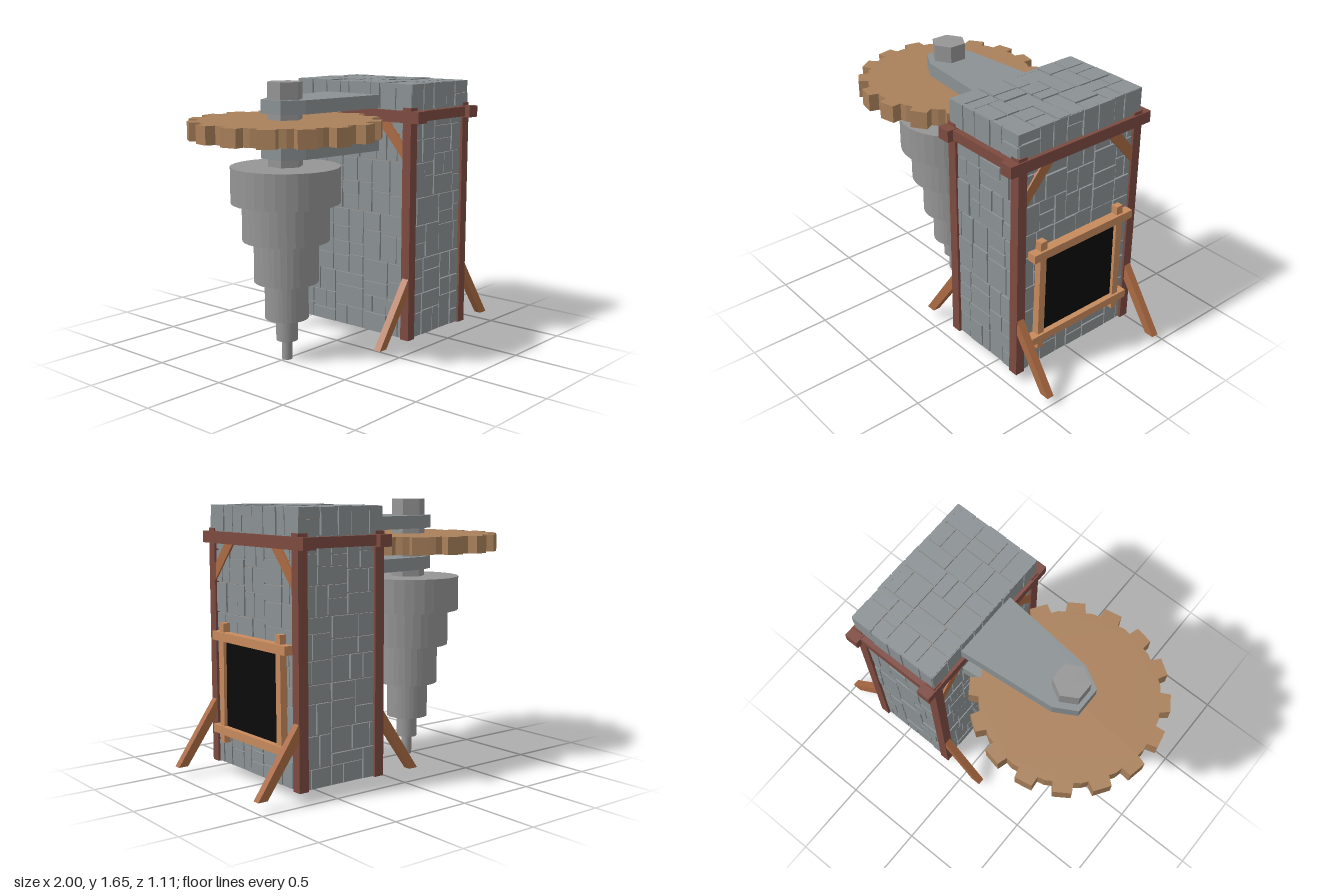
import * as THREE from 'three';
import { mergeGeometries } from 'three/addons/utils/BufferGeometryUtils.js';

const mat = (color) => new THREE.MeshStandardMaterial({ color, flatShading: true });
const STONE = mat(0x8b9194), MORTAR = mat(0x8f8d8a), ARM = mat(0x8b9194), METAL = mat(0x959595);
const DARK_WOOD = mat(0x7d4a40), STRUT_WOOD = mat(0xab6a43), FRAME_WOOD = mat(0xc68a5c);
const GEAR_WOOD = mat(0xa9805a), BLACK = mat(0x0a0a0a);

const AXIS_X = -0.45; // drill axis
const TOWER_X = 0.432; // tower centre

let seed = 7;
const rand = () => {
  seed = (seed * 16807) % 2147483647;
  return seed / 2147483647;
};

function add(parent, name, geometry, material) {
  const mesh = new THREE.Mesh(geometry, material);
  mesh.name = name;
  parent.add(mesh);
  return mesh;
}

// Box given by its low and high corners
function box(parent, name, material, [x0, y0, z0], [x1, y1, z1]) {
  const mesh = add(parent, name, new THREE.BoxGeometry(x1 - x0, y1 - y0, z1 - z0), material);
  mesh.position.set((x0 + x1) / 2, (y0 + y1) / 2, (z0 + z1) / 2);
  return mesh;
}

function extrude(points, depth) {
  const shape = new THREE.Shape(points.map(([x, y]) => new THREE.Vector2(x, y)));
  return new THREE.ExtrudeGeometry(shape, { depth, bevelEnabled: false });
}

// Split a rectangle into irregular stones
function split(x, y, w, h, out) {
  const limit = 0.018 + 0.016 * rand();
  if (w * h < limit && Math.max(w, h) < 0.27) return out.push([x, y, w, h]);
  const t = 0.36 + 0.28 * rand();
  if (w > h * (0.8 + 0.4 * rand())) {
    split(x, y, w * t, h, out);
    split(x + w * t, y, w * (1 - t), h, out);
  } else {
    split(x, y, w, h * t, out);
    split(x, y + h * t, w, h * (1 - t), out);
  }
}

// Stone facing on a w by h wall, centred on its origin and facing +z
function stoneWall(parent, name, w, h, position, rotation) {
  const stones = [];
  split(-w / 2, -h / 2, w, h, stones);
  const gap = 0.008;
  const parts = stones.map(([x, y, sw, sh]) => {
    const d = 0.022 + 0.007 * rand();
    return new THREE.BoxGeometry(sw - gap, sh - gap, d).translate(x + sw / 2, y + sh / 2, d / 2 - 0.025);
  });
  const mesh = add(parent, name, mergeGeometries(parts), STONE);
  mesh.position.set(...position);
  mesh.rotation.set(...rotation);
}

// Mortar core with stones on its four sides
function masonry(parent, name, hx, hz, y0, y1) {
  const inset = 0.012, h = y1 - y0, y = (y0 + y1) / 2;
  box(parent, name + 'Core', MORTAR, [TOWER_X - hx + inset, y0, -hz + inset], [TOWER_X + hx - inset, y1 - inset, hz - inset]);
  stoneWall(parent, name + 'FrontStones', 2 * hx, h, [TOWER_X, y, hz], [0, 0, 0]);
  stoneWall(parent, name + 'BackStones', 2 * hx, h, [TOWER_X, y, -hz], [0, Math.PI, 0]);
  stoneWall(parent, name + 'LeftStones', 2 * hz, h, [TOWER_X + hx, y, 0], [0, Math.PI / 2, 0]);
  stoneWall(parent, name + 'RightStones', 2 * hz, h, [TOWER_X - hx, y, 0], [0, -Math.PI / 2, 0]);
}

function buildTower() {
  const tower = new THREE.Group();
  tower.name = 'tower';
  masonry(tower, 'body', 0.283, 0.445, 0.06, 1.475);
  masonry(tower, 'cap', 0.288, 0.455, 1.465, 1.625);
  stoneWall(tower, 'capTopStones', 0.576, 0.91, [TOWER_X, 1.622, 0], [-Math.PI / 2, 0, 0]);
  return tower;
}

function buildTimber() {
  const timber = new THREE.Group();
  timber.name = 'timberFrame';
  for (const sx of [-1, 1]) {
    const side = new THREE.Group();
    side.name = sx > 0 ? 'leftTimber' : 'rightTimber';
    side.position.x = TOWER_X;
    timber.add(side);
    // Beam along the top of this side
    const beam = box(side, 'sideBeam', DARK_WOOD, [-0.042, 1.395, -0.52], [0.042, 1.465, 0.52]);
    beam.position.x = sx * 0.264;
    for (const sz of [-1, 1]) {
      const post = box(side, 'cornerPost', DARK_WOOD, [-0.031, 0.06, -0.03], [0.031, 1.484, 0.03]);
      post.position.x = sx * 0.267;
      post.position.z = sz * 0.43;

      // Leaning strut at the foot of the post
      const outline = [[0.29, 0.46], [0.29, 0.36], [0.505, 0.06], [0.566, 0.06]];
      const pts = outline.map(([x, y]) => [sx * x, y]);
      const strut = add(side, 'footStrut', extrude(pts, 0.046), STRUT_WOOD);
      strut.position.z = sz * 0.433 - 0.023;

      // Diagonal brace under the beam
      const brace = [[0.41, 1.26], [0.41, 1.165], [0.2, 1.4], [0.29, 1.4]].map(([z, y]) => [-sz * z, y]);
      const mesh = add(side, 'cornerBrace', extrude(brace, 0.04), STRUT_WOOD);
      mesh.rotation.y = Math.PI / 2;
      mesh.position.x = sx * 0.275 - 0.02;
    }
  }
  for (const sz of [-1, 1]) {
    const beam = box(timber, 'crossBeam', DARK_WOOD, [0.14, 1.402, -0.02], [0.725, 1.462, 0.02]);
    beam.position.z = sz * 0.465;
  }
  return timber;
}

function buildWindow() {
  const win = new THREE.Group();
  win.name = 'window';
  box(win, 'darkOpening', BLACK, [0.7, 0.29, -0.29], [0.738, 0.84, 0.285]);
  const tilts = [0.014, -0.008];
  [1, -1].forEach((s, i) => {
    const jamb = box(win, 'windowJamb', FRAME_WOOD, [0.71, 0.203, -0.023], [0.758, 0.928, 0.023]);
    jamb.position.z = s * 0.299 - 0.003;
    jamb.rotation.x = -tilts[i];
  });
  box(win, 'windowLintel', FRAME_WOOD, [0.715, 0.823, -0.39], [0.773, 0.875, 0.37]);
  box(win, 'windowSill', FRAME_WOOD, [0.715, 0.257, -0.382], [0.773, 0.306, 0.378]);
  return win;
}

function buildDrill() {
  const drill = new THREE.Group();
  drill.name = 'drill';
  drill.position.x = AXIS_X;
  // Stepped tiers: radius, bottom, top
  const tiers = [[0.032, 0, 0.12], [0.065, 0.12, 0.257], [0.13, 0.257, 0.48], [0.191, 0.48, 0.73], [0.257, 0.73, 0.953], [0.321, 0.953, 1.165]];
  tiers.forEach(([r, y0, y1], i) => {
    const tier = add(drill, 'drillTier' + (i + 1), new THREE.CylinderGeometry(r, r, y1 - y0, 32), METAL);
    tier.position.y = (y0 + y1) / 2;
  });
  const shaft = add(drill, 'hexShaft', new THREE.CylinderGeometry(0.105, 0.105, 0.49, 6), METAL);
  shaft.position.y = 1.405;

  // Sixteen-toothed wheel
  const teeth = 16, pitch = (2 * Math.PI) / teeth, points = [];
  const at = (r, a) => points.push([r * Math.cos(a), r * Math.sin(a)]);
  for (let i = 0; i < teeth; i++) {
    const a = (i + 0.5) * pitch;
    at(0.5, a - 0.115);
    at(0.558, a - 0.092);
    at(0.558, a + 0.092);
    at(0.5, a + 0.115);
    at(0.505, a + pitch / 2);
  }
  const gear = add(drill, 'gearWheel', extrude(points, 0.105), GEAR_WOOD);
  gear.rotation.x = -Math.PI / 2;
  gear.position.y = 1.33;
  return drill;
}

export function createModel() {
  const model = new THREE.Group();
  model.name = 'drillTower';
  model.add(buildTower(), buildTimber(), buildWindow(), buildDrill());

  // Tapered arms holding the shaft
  const half = [[-0.567, 0.08], [-0.44, 0.152], [0.18, 0.214]];
  const outline = [...half.map(([x, z]) => [x, -z]), ...half.reverse()];
  for (const [name, y] of [['upperArm', 1.47], ['lowerArm', 1.212]]) {
    const arm = add(model, name, extrude(outline, 0.08), ARM);
    arm.rotation.x = -Math.PI / 2;
    arm.position.y = y;
  }
  return model;
}
